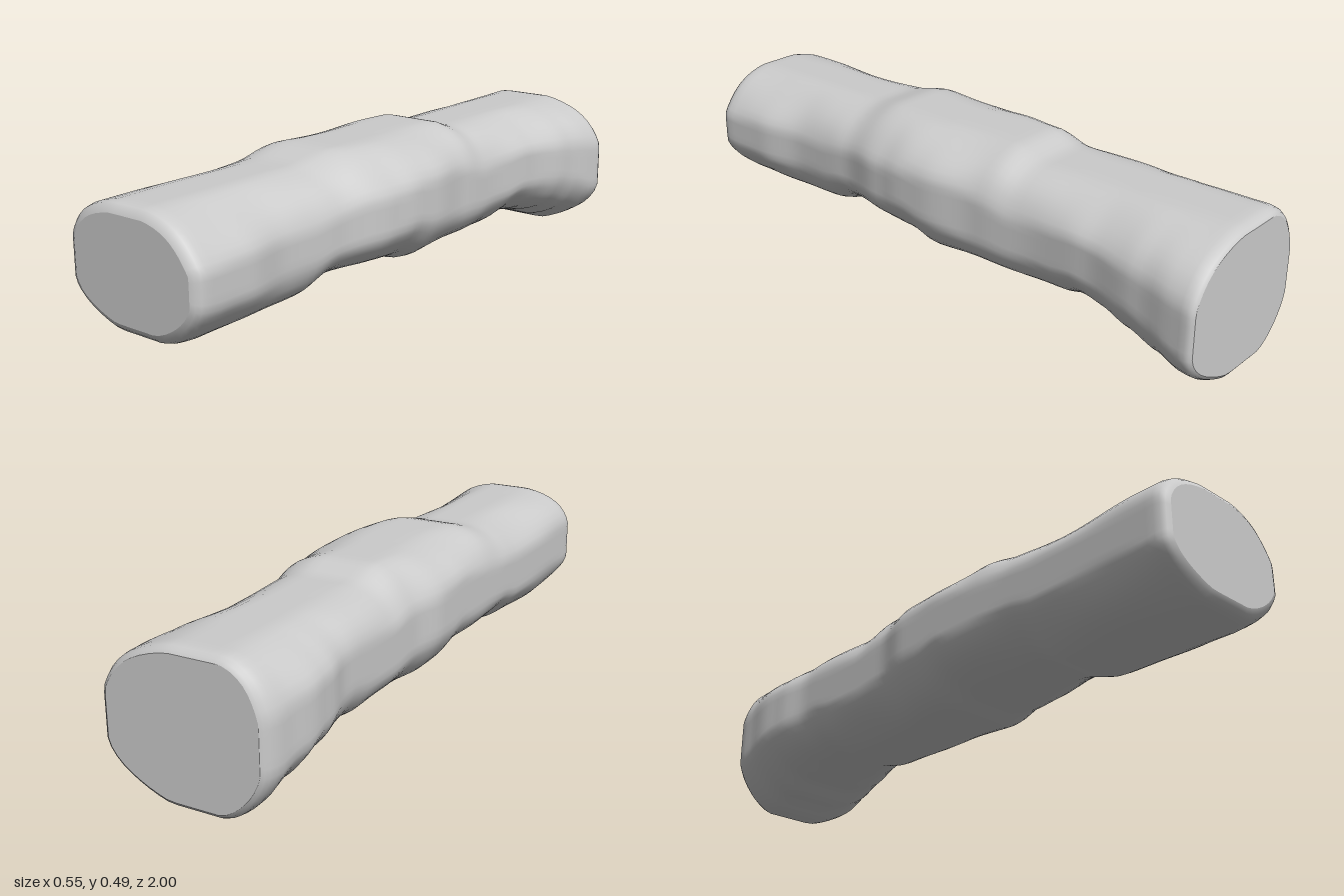
import * as THREE from 'three';

// Outline of the log along z: [z, value] keys for each side
const LEFT = [[-1, -0.25], [-0.93, -0.262], [-0.8, -0.278], [-0.72, -0.272], [-0.6, -0.25], [-0.2, -0.25], [-0.06, -0.275], [1, -0.277]];
const RIGHT = [[-1, 0.28], [-0.94, 0.27], [-0.8, 0.25], [-0.6, 0.22], [-0.4, 0.21], [-0.2, 0.222], [0, 0.25], [0.1, 0.25], [0.2, 0.24], [0.4, 0.2], [0.62, 0.19], [0.8, 0.217], [1, 0.222]];
const TOP = [[-1, 0.465], [-0.33, 0.465], [-0.22, 0.495], [0.26, 0.495], [0.42, 0.465], [1, 0.465]];
const BOTTOM = [[-1, 0], [-0.95, 0.003], [-0.85, 0.04], [-0.75, 0.08], [-0.65, 0.1], [-0.56, 0.11], [-0.46, 0.09], [0, 0.09], [0.1, 0.12], [0.4, 0.12], [0.52, 0.09], [0.9, 0.088], [1, 0.1]];
// Fullness of the upper right corner, flatter toward the front end
const CORNER = [[-1, 2.1], [0, 2.3], [0.5, 1.9], [1, 1.8]];

// Smooth interpolation between keys
function at(keys, z) {
  let i = 0;
  while (i < keys.length - 2 && z > keys[i + 1][0]) i++;
  const [z0, v0] = keys[i], [z1, v1] = keys[i + 1];
  return THREE.MathUtils.lerp(v0, v1, THREE.MathUtils.smoothstep(z, z0, z1));
}

const SIDES = 56;

// One cross-section: a rounded shape with flattened top, bottom and flanks
function ring(z, inset) {
  const l = at(LEFT, z) + inset, r = at(RIGHT, z) - inset;
  const t = at(TOP, z) - inset, b = at(BOTTOM, z) + inset;
  const cx = -0.025, cy = b + (t - b) * 0.51;
  const pts = [];
  for (let j = 0; j < SIDES; j++) {
    const a = (j / SIDES) * Math.PI * 2;
    const c = Math.cos(a), s = Math.sin(a);
    const p = s > 0 ? (c > 0 ? at(CORNER, z) : 2.4) : 2.2;
    const k = Math.pow(Math.pow(Math.abs(c), p) + Math.pow(Math.abs(s), p), -1 / p);
    // slanted bark swellings, strongest between the flats
    const bark = 1 + 0.014 * Math.abs(Math.sin(2 * a)) * (Math.sin(5 * a + 9 * z) + Math.sin(3 * a - 14 * z));
    const u = THREE.MathUtils.clamp(c * k * 1.04 * bark, -1, 1);
    const v = THREE.MathUtils.clamp(s * k * 1.04 * bark, -1, 1);
    pts.push(new THREE.Vector2(cx + u * (u > 0 ? r - cx : cx - l), cy + v * (v > 0 ? t - cy : cy - b)));
  }
  return pts;
}

export function createModel() {
  const group = new THREE.Group();
  group.name = 'log';
  const material = new THREE.MeshStandardMaterial({ color: 0xcccccc, roughness: 0.9 });

  // Stations from front to back, with rounded rims at both ends
  const rim = [[1, 0.028], [0.993, 0.014], [0.98, 0.004]];
  const stations = [...rim];
  for (let i = 0; i <= 76; i++) stations.push([0.96 - (i / 76) * 1.92, 0]);
  for (const [z, inset] of [...rim].reverse()) stations.push([-z, inset * 0.7]);

  // Bark: loft through the cross-sections
  const positions = [], index = [];
  stations.forEach(([z, inset], i) => {
    for (const p of ring(z, inset)) positions.push(p.x, p.y, z);
    if (i === 0) return;
    for (let j = 0; j < SIDES; j++) {
      const n = (j + 1) % SIDES, r0 = (i - 1) * SIDES, r1 = i * SIDES;
      index.push(r0 + j, r1 + j, r0 + n, r0 + n, r1 + j, r1 + n);
    }
  });
  const barkGeometry = new THREE.BufferGeometry();
  barkGeometry.setAttribute('position', new THREE.Float32BufferAttribute(positions, 3));
  barkGeometry.setIndex(index);
  barkGeometry.computeVertexNormals();
  const bark = new THREE.Mesh(barkGeometry, material);
  bark.name = 'bark';
  group.add(bark);

  // Flat cut ends; the back one is mirrored, then turned around
  for (const side of [1, -1]) {
    const inset = side > 0 ? 0.028 : 0.028 * 0.7;
    const pts = ring(side, inset).map((p) => new THREE.Vector2(p.x * side, p.y));
    const cut = new THREE.Mesh(new THREE.ShapeGeometry(new THREE.Shape(pts)), material);
    cut.name = side > 0 ? 'frontCut' : 'backCut';
    cut.position.z = side;
    if (side < 0) cut.rotation.y = Math.PI;
    group.add(cut);
  }
  return group;
}
